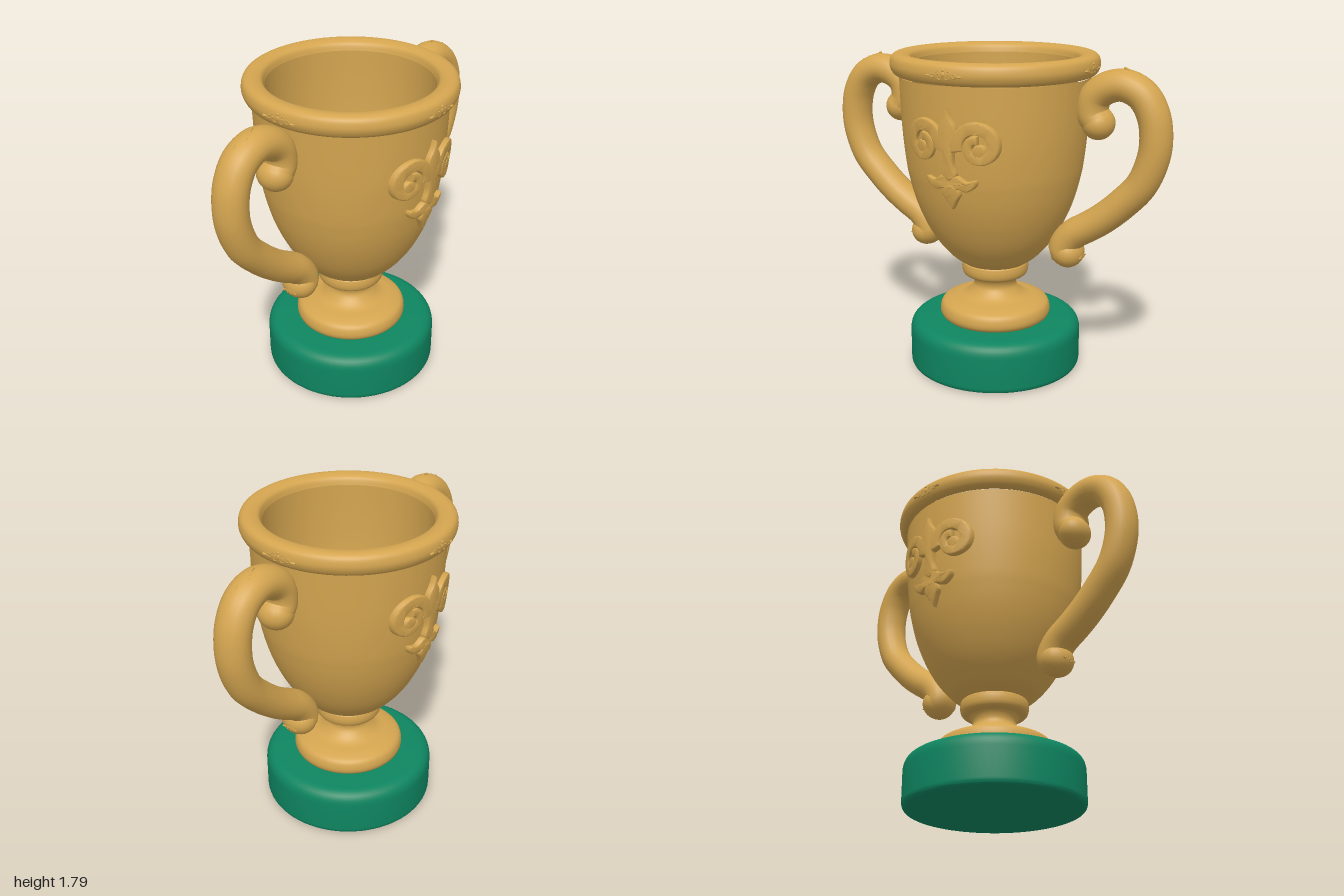
import * as THREE from 'three';
import { toCreasedNormals } from 'three/addons/utils/BufferGeometryUtils.js';

const gold = new THREE.MeshStandardMaterial({ color: 0xd4a550 });
gold.name = 'gold';
const green = new THREE.MeshStandardMaterial({ color: 0x0e8560 });
green.name = 'green';

// Outer bowl wall as [radius, height]
const WALL = [[0.17, 0.6], [0.24, 0.65], [0.305, 0.72], [0.36, 0.8], [0.41, 0.9], [0.447, 1.0],
  [0.473, 1.1], [0.491, 1.2], [0.51, 1.4], [0.52, 1.67]];

function wallRadius(y) {
  for (let i = 1; i < WALL.length; i++) {
    const [r0, y0] = WALL[i - 1], [r1, y1] = WALL[i];
    if (y <= y1) return r0 + (r1 - r0) * (y - y0) / (y1 - y0);
  }
  return 0.52;
}

function mesh(name, geometry, material = gold) {
  const m = new THREE.Mesh(geometry, material);
  m.name = name;
  return m;
}

const vectors = (pts) => pts.map(([x, y]) => new THREE.Vector2(x, y));

// Smooth turned part from a list of [radius, height]
function turned(name, pts, material, steps = 60) {
  const profile = new THREE.SplineCurve(vectors(pts)).getPoints(steps);
  profile.forEach((p) => { p.x = Math.max(p.x, 0); });
  return mesh(name, new THREE.LatheGeometry(profile, 72), material);
}

// Raised plate bent around the bowl wall
function relief(name, shape) {
  const geo = new THREE.ExtrudeGeometry(shape, {
    depth: 0.036, curveSegments: 10, bevelEnabled: true,
    bevelThickness: 0.008, bevelSize: 0.008, bevelOffset: -0.008, bevelSegments: 2,
  });
  const p = geo.attributes.position;
  for (let i = 0; i < p.count; i++) {
    const x = p.getX(i), r = wallRadius(p.getY(i));
    p.setZ(i, Math.sqrt(r * r - x * x) + p.getZ(i) - 0.012);
  }
  return mesh(name, toCreasedNormals(geo, 0.7));
}

// Symmetric outline from its right half, top to bottom
function mirroredShape(half) {
  const right = new THREE.SplineCurve(vectors(half)).getPoints(half.length * 4);
  const left = right.slice(1, -1).reverse().map((p) => new THREE.Vector2(-p.x, p.y));
  return new THREE.Shape([...right, ...left]);
}

function scrollShape(side) {
  const outer = [], inner = [], n = 56;
  for (let i = 0; i <= n; i++) {
    const t = i / n, a = -0.25 + t * Math.PI * 2.6;
    const r = 0.108 - 0.075 * t, w = 0.033 - 0.011 * t;
    const at = (d) => new THREE.Vector2(side * (-0.155 + d * Math.cos(a)), 1.375 + d * 1.05 * Math.sin(a));
    outer.push(at(r + w));
    inner.push(at(r - w));
  }
  return new THREE.Shape([...outer, ...inner.reverse()]);
}

// Scrolls with a spear, whiskers and a pointed leaf
function emblem() {
  const g = new THREE.Group();
  g.name = 'emblem';
  for (const side of [1, -1]) {
    g.add(relief('scroll', scrollShape(side)));
    const eye = new THREE.Shape();
    eye.absarc(side * -0.165, 1.355, 0.034, 0, Math.PI * 2);
    g.add(relief('scrollEye', eye));
  }
  g.add(relief('spear', mirroredShape([[0, 1.565], [0.016, 1.52], [0.045, 1.475], [0.05, 1.43],
    [0.032, 1.36], [0.026, 1.28], [0.04, 1.22], [0, 1.19]])));
  g.add(relief('whiskers', mirroredShape([[0, 1.22], [0.05, 1.215], [0.09, 1.19], [0.14, 1.2],
    [0.135, 1.165], [0.09, 1.135], [0.045, 1.145], [0, 1.14]])));
  g.add(relief('leaf', mirroredShape([[0, 1.17], [0.035, 1.155], [0.052, 1.12], [0.03, 1.08], [0, 1.03]])));
  return g;
}

// Small cluster of curls and beads lying in the xy plane
function filigree(size) {
  const g = new THREE.Group();
  g.name = 'filigree';
  const bead = (x, y, rx, ry) => {
    const m = mesh('bead', new THREE.SphereGeometry(1, 12, 8));
    m.position.set(x, y, 0);
    m.scale.set(rx, ry, 0.1);
    g.add(m);
  };
  bead(0, 0.05, 0.13, 0.2);
  bead(0, 0.3, 0.07, 0.1);
  for (const s of [1, -1]) {
    [[0.27, 0.08, 0.14], [0.56, -0.02, 0.11], [0.2, -0.16, 0.09]].forEach(([x, y, r]) => {
      const curl = mesh('curl', new THREE.TorusGeometry(r, 0.055, 6, 16));
      curl.position.set(s * x, y, 0);
      g.add(curl);
    });
    bead(s * 0.27, 0.08, 0.06, 0.06);
    bead(s * 0.82, -0.04, 0.16, 0.06);
  }
  g.scale.setScalar(size);
  return g;
}

// S-shaped handle with curled, rounded ends
function handle() {
  const g = new THREE.Group();
  g.name = 'handle';
  const path = [[0.605, 1.455], [0.57, 1.5], [0.58, 1.585], [0.645, 1.64], [0.74, 1.658], [0.835, 1.615],
    [0.895, 1.52], [0.916, 1.4], [0.905, 1.29], [0.85, 1.15], [0.745, 1.03], [0.65, 0.945], [0.57, 0.888],
    [0.48, 0.83], [0.435, 0.775], [0.425, 0.735], [0.45, 0.72]];
  const curve = new THREE.CatmullRomCurve3(path.map(([x, y]) => new THREE.Vector3(x, y, 0)));
  const body = new THREE.Group();
  body.name = 'handleBody';
  body.scale.z = 1.13;
  body.add(mesh('handleBar', new THREE.TubeGeometry(curve, 120, 0.084, 20)));
  for (const [x, y, r] of [[0.603, 1.452, 0.087], [0.45, 0.726, 0.088]]) {
    const end = mesh('handleEnd', new THREE.SphereGeometry(r, 24, 16));
    end.position.set(x, y, 0);
    body.add(end);
  }
  g.add(body);

  const top = filigree(0.075);
  top.position.set(0.8, 1.722, 0);
  top.rotation.set(-Math.PI / 2, 0.38, 0);
  const foot = filigree(0.05);
  foot.position.set(0.534, 0.71, 0);
  foot.rotation.y = Math.PI / 2;
  g.add(top, foot);
  return g;
}

export function createModel() {
  const model = new THREE.Group();
  model.name = 'trophy';

  // Rounded plinth
  const plinth = new THREE.Shape();
  plinth.moveTo(0, 0);
  plinth.lineTo(0.46, 0);
  plinth.quadraticCurveTo(0.49, 0, 0.49, 0.035);
  plinth.lineTo(0.49, 0.2);
  plinth.quadraticCurveTo(0.49, 0.28, 0.41, 0.28);
  plinth.lineTo(0, 0.28);
  model.add(mesh('plinth', toCreasedNormals(new THREE.LatheGeometry(plinth.getPoints(8), 72), 0.6), green));

  // Foot, stem and collar
  model.add(turned('foot', [[0.28, 0.27], [0.31, 0.295], [0.316, 0.33], [0.3, 0.37], [0.25, 0.392],
    [0.19, 0.405], [0.15, 0.43], [0.122, 0.47], [0.13, 0.51], [0.165, 0.545]], gold));
  model.add(turned('collar', [[0.11, 0.52], [0.165, 0.528], [0.186, 0.55], [0.189, 0.59], [0.175, 0.612], [0.1, 0.62]], gold));

  // Bowl wall, then the rolled rim, then the hollow inside
  model.add(turned('bowl', WALL, gold));
  model.add(turned('rim', [[0.515, 1.675], [0.545, 1.683], [0.563, 1.71], [0.568, 1.74], [0.558, 1.775],
    [0.53, 1.792], [0.49, 1.79], [0.46, 1.775], [0.447, 1.74]], gold));
  model.add(turned('bowlInside', [[0.447, 1.74], [0.447, 1.55], [0.44, 1.35], [0.42, 1.15], [0.37, 0.95],
    [0.27, 0.8], [0.14, 0.73], [0, 0.71]], gold));

  // Handles and emblems, each turned half way round for its pair
  for (const turn of [0, Math.PI]) {
    const h = handle();
    h.rotation.y = turn;
    const e = emblem();
    e.rotation.y = turn;
    model.add(h, e);
  }

  // Filigree around the rim
  for (let i = 0; i < 4; i++) {
    const a = i * Math.PI / 2;
    const f = filigree(0.105);
    f.scale.y = 0.085;
    f.position.set(0.561 * Math.sin(a), 1.732, 0.561 * Math.cos(a));
    f.rotation.y = a;
    model.add(f);
  }
  return model;
}
